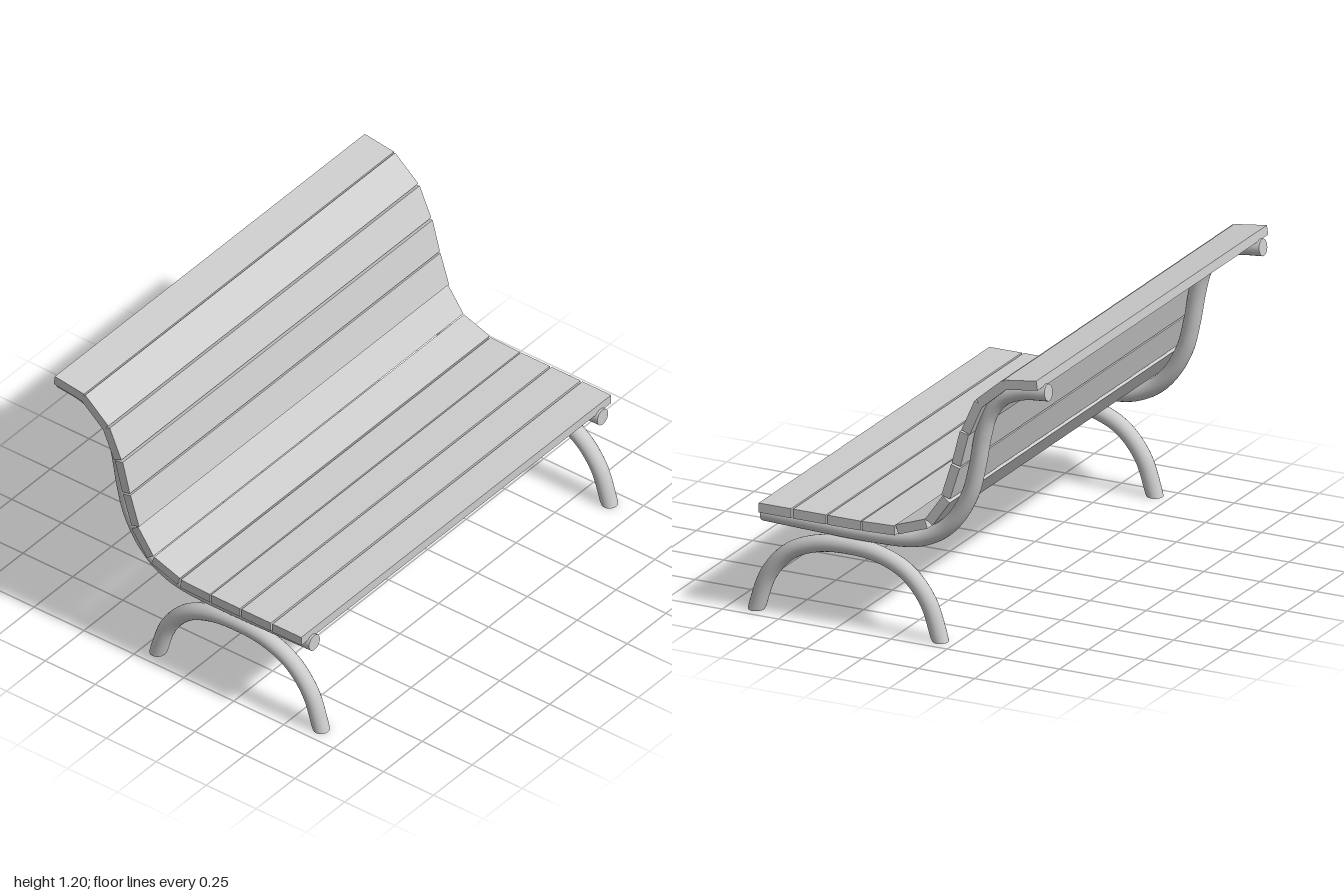
import * as THREE from 'three';
import { mergeGeometries } from 'three/addons/utils/BufferGeometryUtils.js';

const RADIUS = 0.035;
const SIDES = 20;
const SLAT_THICKNESS = 0.04;

// Flat disc closing one end ring of a tube
function endCap(tube, ring, flip) {
  const src = tube.attributes.position;
  const start = ring * (SIDES + 1);
  const pts = [];
  const centre = new THREE.Vector3();
  for (let i = 0; i < SIDES; i++) {
    const p = new THREE.Vector3().fromBufferAttribute(src, start + i);
    pts.push(p);
    centre.addScaledVector(p, 1 / SIDES);
  }
  const index = [];
  for (let i = 1; i <= SIDES; i++) {
    const next = (i % SIDES) + 1;
    index.push(0, flip ? next : i, flip ? i : next);
  }
  const cap = new THREE.BufferGeometry().setFromPoints([centre, ...pts]);
  cap.setIndex(index);
  cap.computeVertexNormals();
  return cap;
}

// Capped pipe along [z, y] points; flatFeet levels both ends on the ground
function pipe(points, segments, flatFeet = false) {
  const curve = new THREE.CatmullRomCurve3(points.map(([z, y]) => new THREE.Vector3(0, y, z)), false, 'centripetal');
  const tube = new THREE.TubeGeometry(curve, segments, RADIUS, SIDES, false);
  tube.deleteAttribute('uv');
  if (flatFeet) {
    const pos = tube.attributes.position;
    for (let i = 0; i <= SIDES; i++) {
      pos.setY(i, 0);
      pos.setY(segments * (SIDES + 1) + i, 0);
    }
    for (let i = 0; i < pos.count; i++) pos.setY(i, Math.max(0, pos.getY(i)));
  }
  return mergeGeometries([tube, endCap(tube, 0, false), endCap(tube, segments, true)]);
}

export function createModel() {
  const bench = new THREE.Group();
  bench.name = 'bench';
  const material = new THREE.MeshStandardMaterial({ color: 0xcccccc });

  // Slats: sitting-side edge of each board as [z, y, z, y], front to top
  const slats = [
    [0.588, 0.475, 0.444, 0.475],
    [0.435, 0.475, 0.289, 0.475],
    [0.281, 0.475, 0.136, 0.475],
    [0.13, 0.475, -0.015, 0.48],
    [-0.02, 0.485, -0.149, 0.531],
    [-0.152, 0.533, -0.229, 0.642],
    [-0.224, 0.646, -0.267, 0.782],
    [-0.27, 0.789, -0.306, 0.928],
    [-0.313, 0.936, -0.371, 1.068],
    [-0.378, 1.075, -0.494, 1.175],
    [-0.5, 1.177, -0.646, 1.197],
  ];
  slats.forEach(([z0, y0, z1, y1], i) => {
    const dz = z1 - z0, dy = y1 - y0;
    const len = Math.hypot(dz, dy);
    const slat = new THREE.Mesh(new THREE.BoxGeometry(2, SLAT_THICKNESS, len), material);
    const half = SLAT_THICKNESS / 2 / len;
    slat.position.set(0, (y0 + y1) / 2 + dz * half, (z0 + z1) / 2 - dy * half);
    slat.rotation.x = Math.atan2(dy, -dz);
    slat.name = (i < 5 ? 'seatSlat' : 'backSlat') + (i + 1);
    bench.add(slat);
  });

  // Curved rail carrying the seat and back
  const rail = pipe([
    [0.6, 0.413], [0.4, 0.407], [0.2, 0.402], [0.06, 0.403], [-0.02, 0.407], [-0.1, 0.422],
    [-0.185, 0.464], [-0.255, 0.533], [-0.317, 0.643], [-0.349, 0.764], [-0.374, 0.9],
    [-0.402, 0.997], [-0.46, 1.073], [-0.55, 1.114], [-0.665, 1.129],
  ], 80);

  // Arched leg, symmetric about its middle
  const mid = 0.225;
  const halfArch = [[0.41, 0], [0.353, 0.16], [0.261, 0.266], [0.138, 0.32]];
  const leg = pipe([
    ...halfArch.map(([d, y]) => [mid + d, y]),
    [mid, 0.334],
    ...halfArch.map(([d, y]) => [mid - d, y]).reverse(),
  ], 56, true);

  for (const [side, x] of [['left', 0.93], ['right', -0.93]]) {
    for (const [part, geometry] of [['Rail', rail], ['LegArch', leg]]) {
      const mesh = new THREE.Mesh(geometry, material);
      mesh.name = side + part;
      mesh.position.x = x;
      bench.add(mesh);
    }
  }
  return bench;
}
